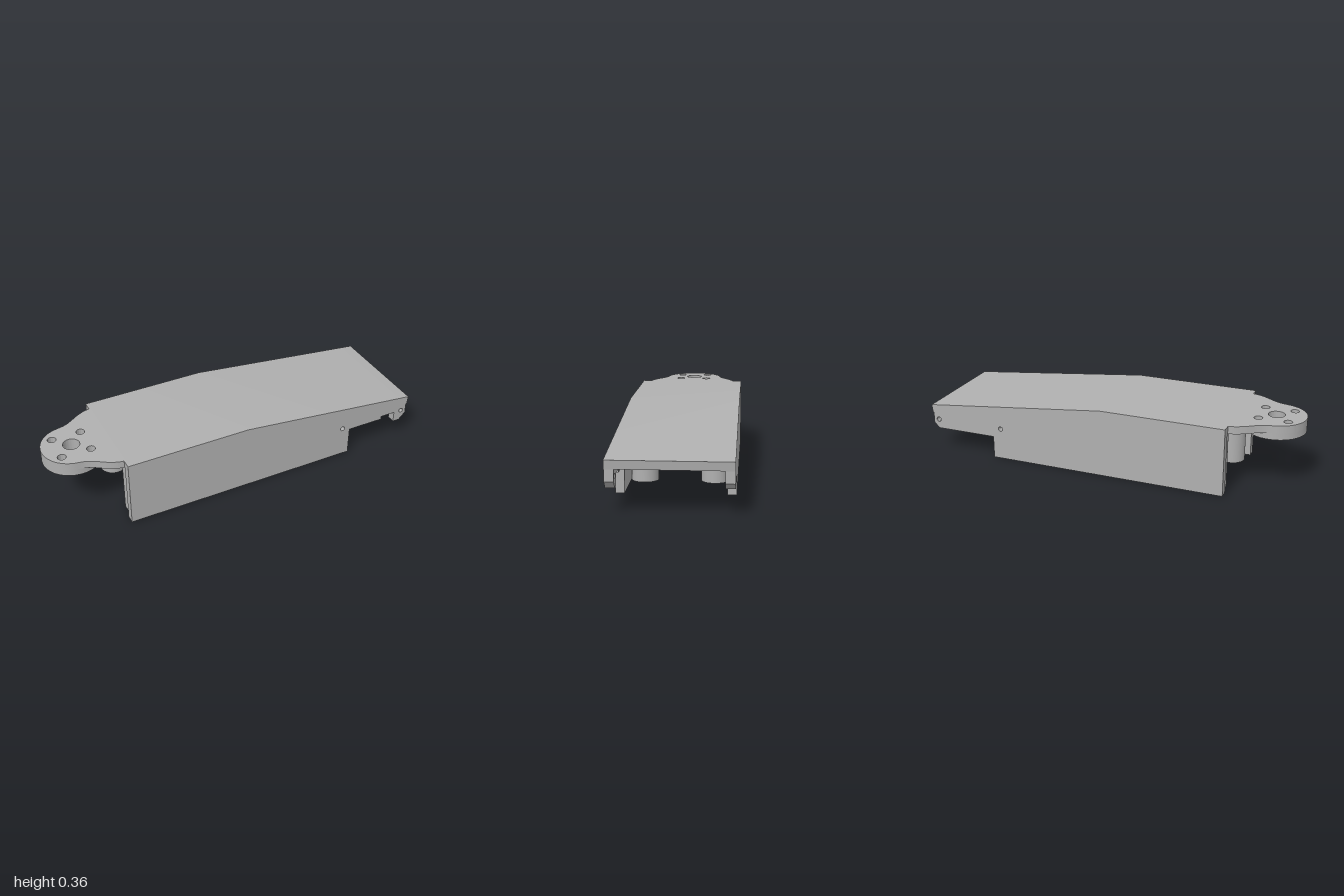
import * as THREE from 'three';
import { toCreasedNormals } from 'three/addons/utils/BufferGeometryUtils.js';

const TOP = 0.36, HALF = 0.293, WALL = 0.045, BACK = -0.66;

export function createModel() {
  const group = new THREE.Group();
  const grey = new THREE.MeshStandardMaterial({ color: 0xb0b0b0 });
  grey.name = 'plain grey';

  const add = (name, geometry) => {
    const mesh = new THREE.Mesh(toCreasedNormals(geometry, 0.6), grey);
    mesh.name = name;
    group.add(mesh);
    return mesh;
  };
  const polygon = (points) => new THREE.Shape(points.map(([x, y]) => new THREE.Vector2(x, y)));
  const extrude = (shape, depth) =>
    new THREE.ExtrudeGeometry(shape, { depth, bevelEnabled: false, curveSegments: 24 });
  const drill = (shape, x, y, r) =>
    shape.holes.push(new THREE.Path().absarc(x, y, r, 0, Math.PI * 2, true));

  // Top plate, level at the back and sloping down towards the open end
  const plate = polygon([
    [BACK, TOP], [BACK, 0.32], [-0.005, 0.32], [0.995, 0.207], [1, 0.25], [0, TOP],
  ]);
  add('topPlate', extrude(plate, HALF * 2).translate(0, 0, -HALF));

  // Side walls, each with its own cut-away lower edge
  const frontEdge = [[0.625, 0.152], [0.83, 0.152], [0.83, 0.17], [0.915, 0.17],
    [0.915, 0.11], [0.952, 0.11], [0.99, 0.148]];
  const backEdge = [[0.625, 0.119], [0.96, 0.119], [0.99, 0.148]];
  const addWall = (name, lowerEdge, z) => {
    const wall = polygon([
      [BACK, 0.32], [BACK, 0], [0.625, 0], ...lowerEdge, [0.99, 0.2076], [-0.005, 0.32],
    ]);
    drill(wall, 0.58, 0.17, 0.013);
    drill(wall, 0.96, 0.17, 0.013);
    add(name, extrude(wall, WALL).translate(0, 0, z));
  };
  addWall('frontWall', frontEdge, HALF - WALL);
  addWall('backWall', backEdge, -HALF);

  // Mounting flange: flared neck running into a round end
  const cx = -0.845, r = 0.155;
  const flare = [[BACK, 0.243], [-0.695, 0.235], [-0.74, 0.213], [-0.785, 0.183], [-0.825, 0.163]]
    .map(([x, z]) => new THREE.Vector2(x, z));
  const flange = new THREE.Shape();
  flange.moveTo(BACK, -0.243);
  flange.lineTo(BACK, 0.243);
  flange.splineThru([...flare.slice(1), new THREE.Vector2(-0.872, 0.1526)]);
  flange.absarc(cx, 0, r, 1.746, Math.PI * 2 - 1.746, false);
  flange.splineThru(flare.map((p) => new THREE.Vector2(p.x, -p.y)).reverse());
  const pad = new THREE.Shape().absarc(cx, 0, r, 0, Math.PI * 2, false);
  for (const shape of [flange, pad]) {
    drill(shape, cx, 0, 0.043);
    for (const sx of [-1, 1]) for (const sz of [-1, 1]) {
      drill(shape, cx + sx * 0.076, sz * 0.077, 0.022);
    }
  }
  add('flange', extrude(flange, 0.04).rotateX(Math.PI / 2).translate(0, TOP, 0));
  add('flangePad', extrude(pad, 0.035).rotateX(Math.PI / 2).translate(0, 0.32, 0));

  // Hollow screw posts under the top plate
  for (const [x, height] of [[-0.575, 0.33], [0.34, 0.295]]) {
    for (const z of [-0.178, 0.178]) {
      const profile = [[0.024, height], [0.024, 0], [0.07, 0], [0.07, height]]
        .map(([px, py]) => new THREE.Vector2(px, py));
      add('screwPost', new THREE.LatheGeometry(profile, 40)).position.set(x, 0, z);
    }
  }
  return group;
}
